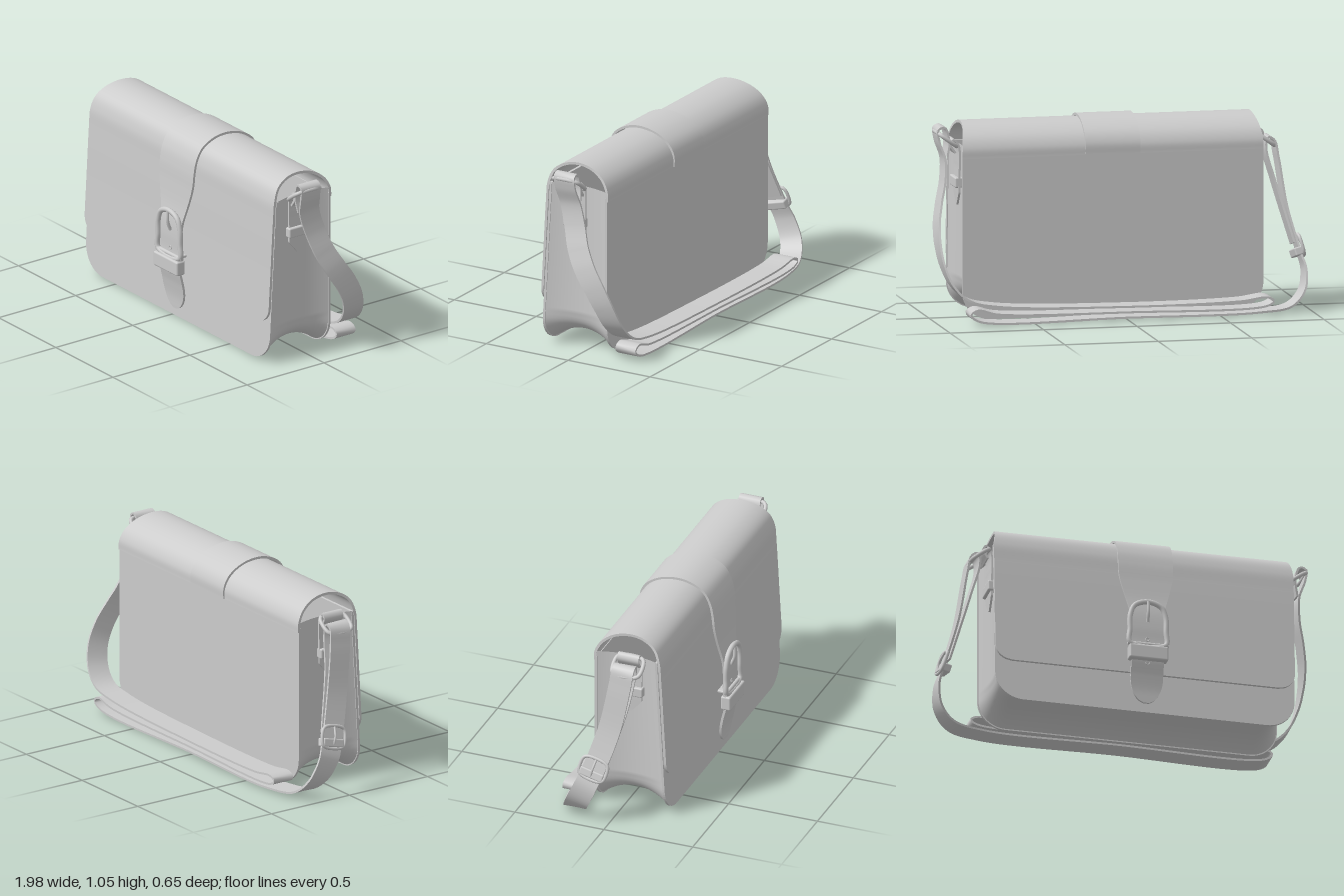
import * as THREE from 'three';
import { RoundedBoxGeometry } from 'three/addons/geometries/RoundedBoxGeometry.js';
import { ParametricGeometry } from 'three/addons/geometries/ParametricGeometry.js';

const mat = new THREE.MeshStandardMaterial({ color: 0xcccccc, roughness: 0.7 });
const matDouble = new THREE.MeshStandardMaterial({ color: 0xcccccc, roughness: 0.7, side: THREE.DoubleSide });
const V = (x, y, z) => new THREE.Vector3(x, y, z);
const X = V(1, 0, 0), Z = V(0, 0, 1);
const CX = 0.05, W = 0.805; // middle and half width of the bag body

function mesh(name, geometry, material = mat) {
  const m = new THREE.Mesh(geometry, material);
  m.name = name;
  return m;
}

// Leather strip with a rectangular section, swept along a smooth path;
// its width lies along the given axis and may vary: half(point, distanceToEnd)
function ribbon(name, pts, axis, thickness, n, half) {
  const curve = new THREE.CatmullRomCurve3(pts.map(p => V(...p)));
  curve.arcLengthDivisions = 1000;
  const length = curve.getLength();
  const pos = [], idx = [], rings = [];
  for (let i = 0; i <= n; i++) {
    const c = curve.getPointAt(i / n), t = curve.getTangentAt(i / n);
    const w = axis.clone().addScaledVector(t, -axis.dot(t)).normalize();
    const nrm = t.clone().cross(w).multiplyScalar(thickness / 2);
    w.multiplyScalar(half(c, length * (1 - i / n)));
    const k = [[1, 1], [-1, 1], [-1, -1], [1, -1]]
      .map(([a, b]) => c.clone().addScaledVector(w, a).addScaledVector(nrm, b));
    rings.push(k);
    for (let s = 0; s < 4; s++) pos.push(...k[s].toArray(), ...k[(s + 1) % 4].toArray());
  }
  for (let i = 0; i < n; i++) for (let s = 0; s < 4; s++) {
    const a = i * 8 + s * 2, b = a + 8;
    idx.push(a, a + 1, b, a + 1, b + 1, b);
  }
  // end caps
  [rings[0], rings[n]].forEach((k, e) => {
    const o = pos.length / 3;
    k.forEach(p => pos.push(...p.toArray()));
    idx.push(...(e ? [o, o + 1, o + 2, o, o + 2, o + 3] : [o, o + 2, o + 1, o, o + 3, o + 2]));
  });
  const g = new THREE.BufferGeometry();
  g.setAttribute('position', new THREE.Float32BufferAttribute(pos, 3));
  g.setIndex(idx);
  g.computeVertexNormals();
  return mesh(name, g);
}

function tube(name, pts, r, closed = false) {
  const curve = new THREE.CatmullRomCurve3(pts, closed);
  return mesh(name, new THREE.TubeGeometry(curve, 64, r, 10, closed));
}

// Rounded rectangular metal loop spanned by two half-axes
function loop(name, c, u, v, r) {
  const pts = [[1, -0.7], [1, 0.7], [0.7, 1], [-0.7, 1], [-1, 0.7], [-1, -0.7], [-0.7, -1], [0.7, -1]]
    .map(([a, b]) => c.clone().addScaledVector(u, a).addScaledVector(v, b));
  return tube(name, pts, r, true);
}

function box(name, sx, sy, sz, x, y, z, r = 0.008) {
  const m = mesh(name, new RoundedBoxGeometry(sx, sy, sz, 2, r));
  m.position.set(x, y, z);
  return m;
}

// U-shaped outline shared by the panels and the gusset
function outline(path, top, r = 0.15) {
  const k = r * 0.45;
  path.moveTo(CX - W, top);
  path.lineTo(CX - W, r);
  path.bezierCurveTo(CX - W, k, CX - W + k, 0, CX - W + r, 0);
  path.lineTo(CX + W - r, 0);
  path.bezierCurveTo(CX + W - k, 0, CX + W, k, CX + W, r);
  path.lineTo(CX + W, top);
  return path;
}

function panel(name, top) {
  const g = new THREE.ExtrudeGeometry(outline(new THREE.Shape(), top), { depth: 0.013, bevelEnabled: false, curveSegments: 16 });
  return mesh(name, g);
}

function body() {
  const g = new THREE.Group();
  g.name = 'body';
  const front = panel('frontPanel', 0.9);
  front.position.z = 0.238;
  front.rotation.x = -Math.atan(0.05 / 0.9);
  const back = panel('backPanel', 0.87);
  back.position.z = -0.15;

  // Gusset bowed inwards between the two panels, deepest along the bottom
  const path = outline(new THREE.Path(), 0.9);
  const gusset = new ParametricGeometry((u, v, out) => {
    const p = path.getPointAt(u), t = path.getTangentAt(u);
    const depth = (0.03 + 0.045 * Math.max(0, 1 - p.y / 0.2)) * (1 - (2 * v - 1) ** 2) + 0.003;
    const zf = 0.242 - 0.05 * p.y / 0.9;
    out.set(p.x - t.y * depth, p.y + t.x * depth, -0.142 + (zf + 0.142) * v);
  }, 160, 16);
  g.add(front, back, mesh('gusset', gusset, matDouble));

  // Flap from the back edge over the top and down the front, rounded at its lower corners
  const flap = [[0.85, -0.148], [0.9, -0.145], [0.955, -0.115], [1.0, -0.05], [1.018, 0.04], [1.005, 0.12],
    [0.965, 0.18], [0.9, 0.208], [0.8, 0.217], [0.5, 0.234], [0.22, 0.25]].map(([y, z]) => [CX, y, z]);
  g.add(ribbon('flap', flap, X, 0.014, 160, (p, d) => {
    const r = 0.09, s = Math.min(d, r);
    return W - r + Math.sqrt(r * r - (r - s) ** 2) - 0.03 * Math.max(0, (p.y - 0.86) / 0.16) ** 2;
  }));
  return g;
}

function closure() {
  const g = new THREE.Group();
  g.name = 'closure';
  const x = CX + 0.002;
  // Closing strap: broad over the top, narrow below, pointed at the tip
  const path = [[0.85, -0.156], [0.91, -0.154], [0.965, -0.124], [1.012, -0.052], [1.032, 0.045], [1.02, 0.125],
    [0.98, 0.195], [0.92, 0.23], [0.85, 0.246], [0.75, 0.255], [0.65, 0.266], [0.55, 0.282], [0.47, 0.287],
    [0.38, 0.287], [0.3, 0.296], [0.2, 0.275], [0.12, 0.262], [0.05, 0.258]].map(([y, z]) => [x, y, z]);
  g.add(ribbon('closingStrap', path, X, 0.013, 180, (p, d) => {
    const broad = THREE.MathUtils.smoothstep(p.y, 0.5, 0.82);
    const w = p.z < 0.1 ? 0.147 : 0.087 + 0.06 * broad;
    const s = Math.min(1, (d + 0.002) / 0.14);
    return w * Math.sqrt(1 - (1 - s) ** 2);
  }));

  // Arched buckle frame with bar, prong and keeper
  const arch = [[-0.095, 0.37], [-0.097, 0.45], [-0.095, 0.53], [-0.07, 0.588], [0, 0.612]];
  const right = arch.slice(0, 4).reverse().map(([a, y]) => [-a, y]);
  g.add(tube('buckleFrame', [...arch, ...right].map(([a, y]) => V(x + a, y, 0.303)), 0.014, true));
  const bar = mesh('buckleBar', new THREE.CylinderGeometry(0.011, 0.011, 0.22, 12));
  bar.rotation.z = Math.PI / 2;
  bar.position.set(x, 0.368, 0.3);
  g.add(bar);
  g.add(tube('prong', [V(x, 0.61, 0.312), V(x, 0.55, 0.312), V(x, 0.5, 0.294)], 0.009));
  g.add(box('buckleAnchor', 0.16, 0.016, 0.05, x, 0.365, 0.27, 0.006));
  g.add(box('keeper', 0.21, 0.08, 0.055, x, 0.315, 0.302, 0.01));
  for (const [y, z] of [[0.4, 0.294], [0.265, 0.296]]) {
    const eyelet = mesh('strapHole', new THREE.TorusGeometry(0.01, 0.003, 6, 16));
    eyelet.position.set(x, y, z);
    g.add(eyelet);
  }
  return g;
}

// Pointed leather tab with a keeper and a metal ring on one end of the bag
function sideTab(s) {
  const g = new THREE.Group();
  g.name = s > 0 ? 'leftTab' : 'rightTab';
  const at = d => CX + s * (W + d);
  const path = [[0.005, 0.86], [0.03, 0.905], [0.015, 0.93], [-0.012, 0.9], [-0.018, 0.8], [-0.015, 0.7], [-0.018, 0.58]]
    .map(([d, y]) => [at(d), y, 0.05]);
  g.add(ribbon('tab', path, Z, 0.011, 60, (p, d) => 0.06 * Math.min(1, (d + 0.004) / 0.07)));
  g.add(box('tabKeeper', 0.045, 0.055, 0.13, at(-0.015), 0.703, 0.055));
  const rise = s > 0 ? 0.035 : -0.035;
  g.add(loop('ring', V(at(0.045), s > 0 ? 0.93 : 0.875, 0.055), V(s * 0.048, rise, 0), V(0, 0, 0.075), 0.011));
  return g;
}

function shoulderStrap() {
  const g = new THREE.Group();
  g.name = 'shoulderStrap';
  // One long strip: looped on the ring, folded behind the bag, back up to the other ring
  const path = [
    [0.905, 0.84, 0.04], [0.893, 0.92, 0.05], [0.915, 0.995, 0.052], [0.95, 0.985, 0.052], [0.945, 0.92, 0.05],
    [0.918, 0.83, 0.035], [0.925, 0.72, 0.005], [0.955, 0.6, -0.035], [0.978, 0.5, -0.09], [0.985, 0.4, -0.155],
    [0.972, 0.3, -0.205], [0.93, 0.2, -0.235], [0.85, 0.125, -0.25], [0.7, 0.09, -0.25],
    [0, 0.065, -0.25], [-0.6, 0.075, -0.262], [-0.74, 0.09, -0.262], [-0.775, 0.07, -0.262], [-0.74, 0.046, -0.262],
    [0, 0.036, -0.25], [0.7, 0.05, -0.255], [0.81, 0.075, -0.257], [0.845, 0.05, -0.257], [0.8, 0.015, -0.255],
    [0, 0.008, -0.25], [-0.7, 0.01, -0.25], [-0.88, 0.03, -0.21], [-0.955, 0.1, -0.17],
    [-0.977, 0.2, -0.12], [-0.955, 0.3, -0.08], [-0.9, 0.53, -0.01], [-0.865, 0.78, 0.035],
    [-0.845, 0.87, 0.045], [-0.81, 0.885, 0.045], [-0.8, 0.83, 0.04], [-0.845, 0.65, 0.015], [-0.93, 0.33, -0.07],
  ];
  g.add(ribbon('strap', path, Z, 0.011, 500, () => 0.061));
  // Length adjuster
  const adjuster = new THREE.Group();
  adjuster.name = 'adjuster';
  adjuster.position.set(-0.95, 0.305, -0.078);
  adjuster.rotation.set(0.25, 0, -0.25);
  adjuster.add(loop('adjusterFrame', V(-0.015, 0.01, 0), V(0, 0.055, 0), V(0, 0, 0.07), 0.009));
  adjuster.add(box('adjusterKeeper', 0.055, 0.045, 0.135, 0.003, -0.02, 0));
  adjuster.add(tube('adjusterProng', [V(-0.02, -0.03, 0), V(-0.03, 0.01, 0), V(-0.02, 0.065, 0)], 0.006));
  g.add(adjuster);
  return g;
}

export function createModel() {
  const model = new THREE.Group();
  model.name = 'shoulderBag';
  model.add(body(), closure(), sideTab(1), sideTab(-1), shoulderStrap());
  return model;
}
